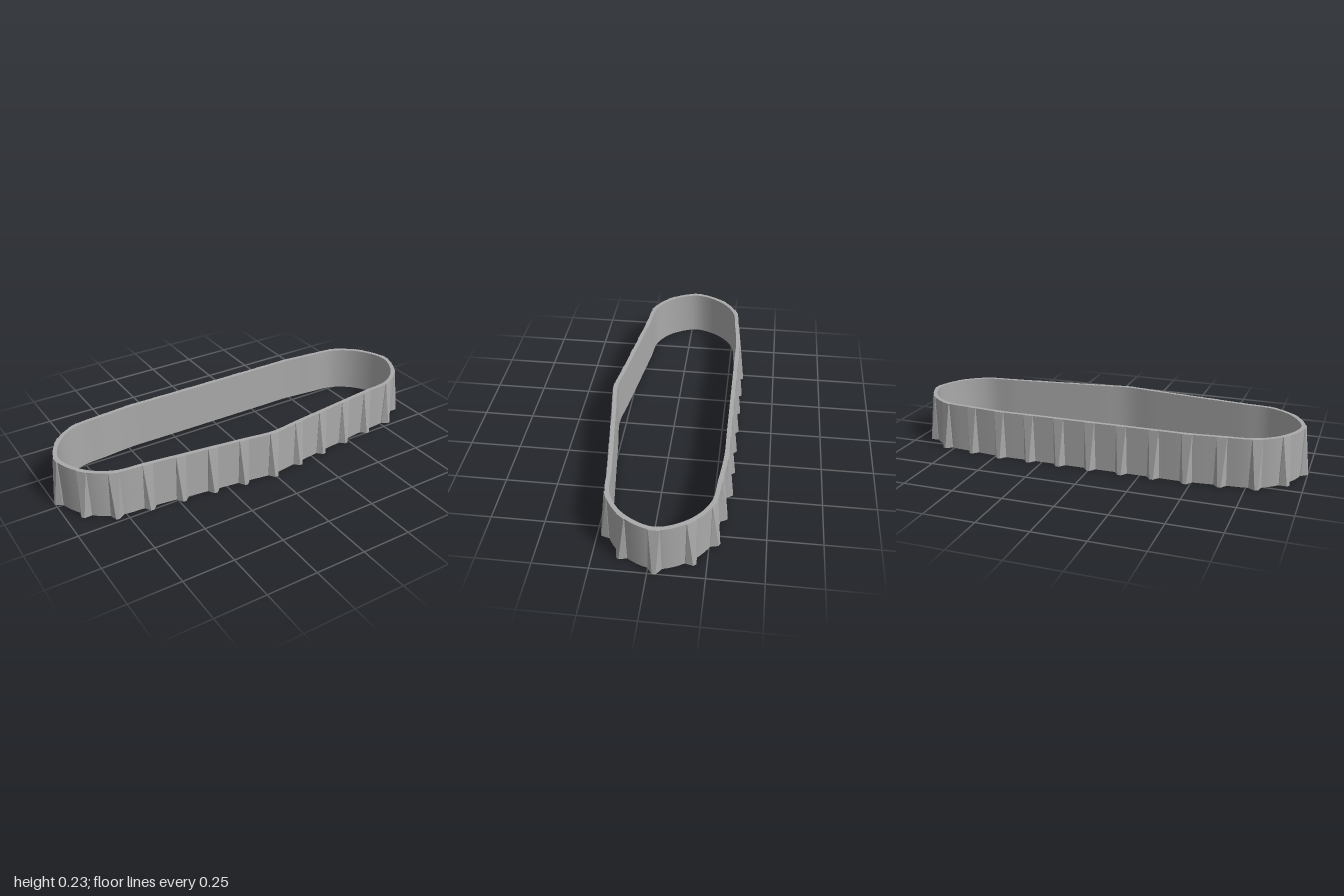
import * as THREE from 'three';
import { toCreasedNormals } from 'three/addons/utils/BufferGeometryUtils.js';
import { ConvexGeometry } from 'three/addons/geometries/ConvexGeometry.js';

const HEIGHT = 0.235;
const WALL = 0.02;

// Outer outline of the band (x, z), from the front middle round the left end to the back middle
const HALF = [
  [0, 0.305], [0.158, 0.285], [0.316, 0.265], [0.474, 0.245], [0.632, 0.225], [0.79, 0.205],
  [0.908, 0.12], [0.972, -0.03], [0.908, -0.18],
  [0.79, -0.268], [0.632, -0.29], [0.474, -0.305], [0.316, -0.305], [0.158, -0.305], [0, -0.305],
];

export function createModel() {
  const group = new THREE.Group();
  group.name = 'ribbedBand';
  const grey = new THREE.MeshStandardMaterial({ color: 0xaaaaaa });
  grey.name = 'grey';

  // Close the outline by mirroring it; each knot also carries a rib
  const mirrored = HALF.slice(1, -1).reverse().map(([x, z]) => [-x, z]);
  const knots = [...HALF, ...mirrored].map(([x, z]) => new THREE.Vector3(x, 0, z));
  const outline = new THREE.CatmullRomCurve3(knots, true);
  const frame = (u) => {
    const point = outline.getPoint(u);
    const tangent = outline.getTangent(u);
    return { point, tangent, normal: new THREE.Vector3(-tangent.z, 0, tangent.x) };
  };

  // Thin upright wall
  const outer = [], inner = [];
  const samples = knots.length * 6;
  for (let i = 0; i < samples; i++) {
    const { point, normal } = frame(i / samples);
    outer.push(new THREE.Vector2(point.x, -point.z));
    point.addScaledVector(normal, -WALL);
    inner.push(new THREE.Vector2(point.x, -point.z));
  }
  const shape = new THREE.Shape(outer);
  shape.holes.push(new THREE.Path(inner));
  const wall = new THREE.ExtrudeGeometry(shape, { depth: HEIGHT, bevelEnabled: false });
  wall.rotateX(-Math.PI / 2);
  const band = new THREE.Mesh(toCreasedNormals(wall, 0.6), grey);
  band.name = 'band';
  group.add(band);

  // Wedge rib: flush with the wall at the top, flaring to a narrow ridge at the foot
  const corners = [];
  for (const s of [-1, 1]) {
    corners.push(
      new THREE.Vector3(s * 0.03, 0, -0.01),
      new THREE.Vector3(s * 0.03, 0, 0),
      new THREE.Vector3(s * 0.008, 0, 0.029),
      new THREE.Vector3(s * 0.027, HEIGHT, -0.01),
      new THREE.Vector3(s * 0.024, HEIGHT, 0.002),
    );
  }
  const ribGeometry = new ConvexGeometry(corners);
  const ribs = new THREE.Group();
  ribs.name = 'ribs';
  const up = new THREE.Vector3(0, 1, 0);
  knots.forEach((_, i) => {
    const { point, tangent, normal } = frame(i / knots.length);
    const rib = new THREE.Mesh(ribGeometry, grey);
    rib.name = 'rib';
    rib.position.copy(point);
    rib.quaternion.setFromRotationMatrix(new THREE.Matrix4().makeBasis(tangent, up, normal));
    ribs.add(rib);
  });
  group.add(ribs);

  return group;
}
